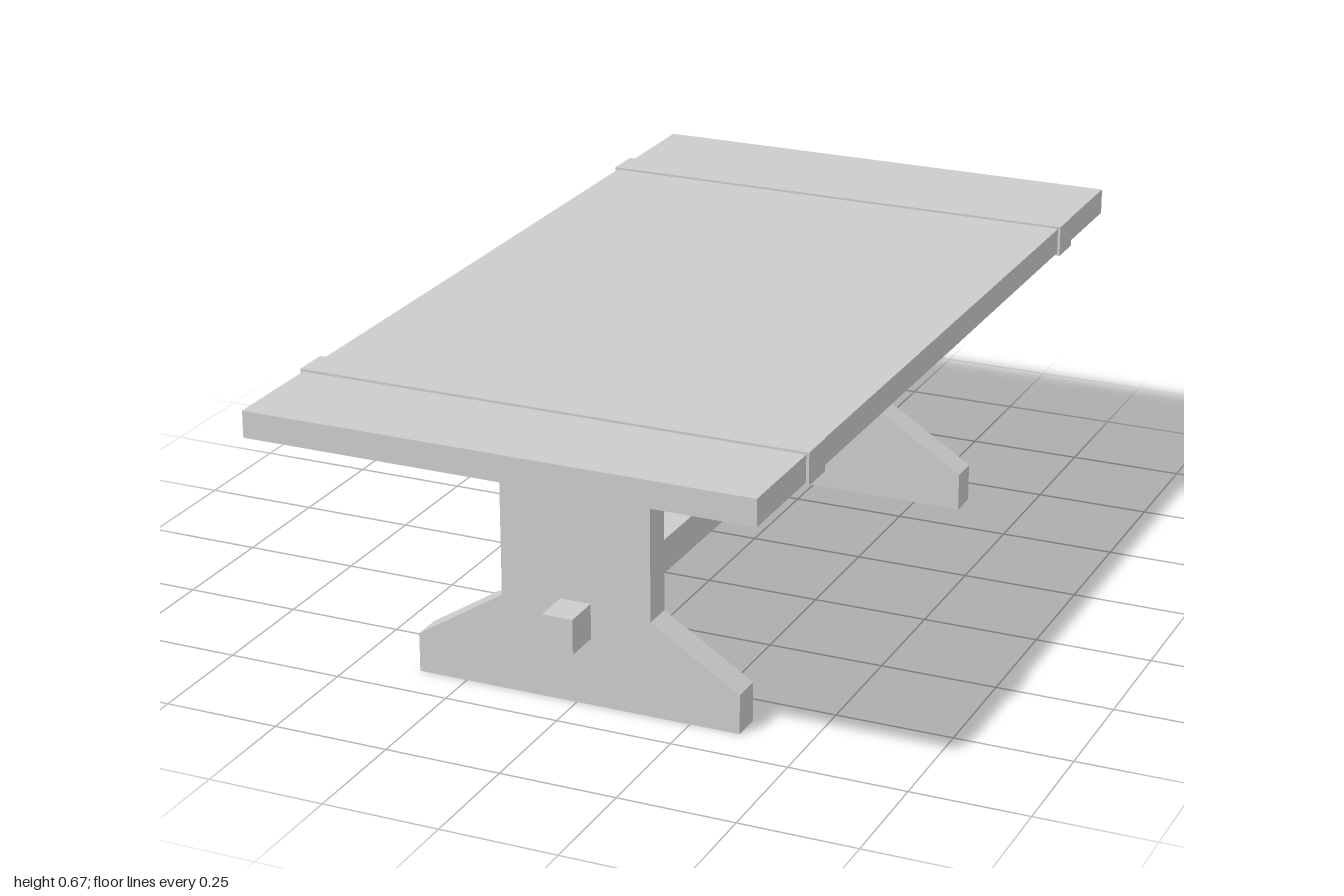
import * as THREE from 'three';

const material = new THREE.MeshStandardMaterial({ color: 0xcccccc, flatShading: true });

function addBox(parent, name, size, position) {
  const mesh = new THREE.Mesh(new THREE.BoxGeometry(...size), material);
  mesh.name = name;
  mesh.position.set(...position);
  parent.add(mesh);
}

// Trestle outline: splayed foot below a broad upright post
function trestleGeometry(depth) {
  const half = [[0.358, 0], [0.358, 0.085], [0.165, 0.207], [0.165, 0.612]];
  const mirrored = half.map(([x, y]) => [-x, y]).reverse();
  const shape = new THREE.Shape([...half, ...mirrored].map(([x, y]) => new THREE.Vector2(x, y)));
  return new THREE.ExtrudeGeometry(shape, { depth, bevelEnabled: false }).translate(0, 0, -depth / 2);
}

export function createModel() {
  const table = new THREE.Group();
  table.name = 'trestleTable';

  addBox(table, 'tableTop', [1.078, 0.056, 2], [0, 0.64, 0]);

  // Beam passing through both trestles
  addBox(table, 'stretcher', [0.067, 0.076, 1.48], [0, 0.185, 0]);

  const trestle = trestleGeometry(0.066);
  for (const [side, label] of [[1, 'front'], [-1, 'back']]) {
    const leg = new THREE.Mesh(trestle, material);
    leg.name = label + 'Trestle';
    leg.position.z = side * 0.624;
    table.add(leg);

    // Slightly raised band wrapped around the top
    addBox(table, label + 'Band', [1.09, 0.067, 0.08], [0, 0.6395, side * 0.727]);
  }
  return table;
}
